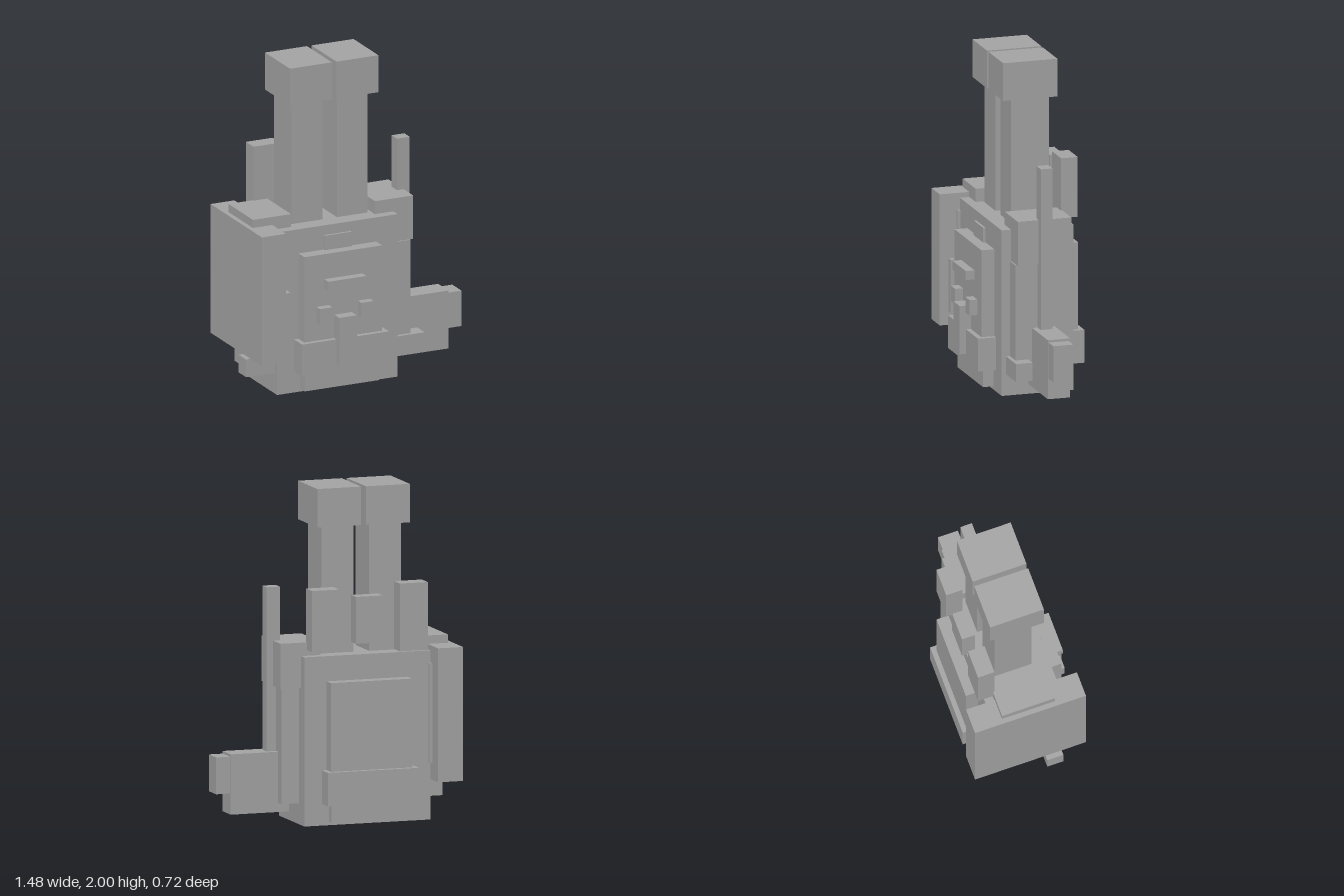
import * as THREE from 'three';

export function createModel() {
  const model = new THREE.Group();
  model.name = 'blockFigure';
  const stone = new THREE.MeshStandardMaterial({ color: 0xa6a6a6 });
  stone.name = 'plain grey';

  // Box given by its limits on each axis
  const box = (name, [x0, x1], [y0, y1], [z0, z1]) => {
    const mesh = new THREE.Mesh(new THREE.BoxGeometry(x1 - x0, y1 - y0, z1 - z0), stone);
    mesh.name = name;
    mesh.position.set((x0 + x1) / 2, (y0 + y1) / 2, (z0 + z1) / 2);
    model.add(mesh);
  };
  // The body is symmetric about x = -0.155
  const axis = -0.155;
  const pair = (name, [x0, x1], y, z) => {
    box('left' + name, [x0, x1], y, z);
    box('right' + name, [2 * axis - x1, 2 * axis - x0], y, z);
  };

  // Body with front and back panels, band and base
  box('torso', [-0.55, 0.24], [0, 1.01], [-0.235, 0.21]);
  box('bodyPanel', [-0.41, 0.1], [0.3, 0.86], [-0.31, 0.29]);
  box('band', [-0.44, 0.13], [0.13, 0.33], [-0.34, 0.32]);
  box('base', [-0.4, 0.085], [0.02, 0.13], [-0.278, 0.275]);
  box('upperTab', [-0.245, -0.065], [0.86, 0.95], [0.18, 0.225]);

  // Face details
  box('nose', [-0.215, -0.1], [0.18, 0.475], [0.28, 0.36]);
  box('brow', [-0.28, -0.03], [0.65, 0.705], [0.28, 0.345]);
  pair('Eye', [-0.06, 0.022], [0.445, 0.54], [0.28, 0.338]);

  // Raised legs and feet
  pair('Leg', [-0.107, 0.095], [1.0, 1.77], [-0.13, 0.105]);
  pair('Foot', [-0.14, 0.135], [1.77, 2], [-0.17, 0.167]);

  // Shoulders, arms and hands
  pair('Shoulder', [0.12, 0.37], [0.82, 1.09], [-0.18, 0.152]);
  pair('Arm', [0.16, 0.35], [0.125, 0.82], [-0.14, 0.16]);
  pair('Hand', [0.15, 0.43], [0.13, 0.24], [0.082, 0.183]);

  // Posts along the back
  box('rightPost', [-0.52, -0.345], [1.02, 1.425], [-0.273, -0.17]);
  box('middlePost', [-0.24, -0.07], [1.08, 1.36], [-0.273, -0.19]);
  box('leftPost', [0.035, 0.205], [1.045, 1.41], [-0.273, -0.17]);

  // Shield with its inner plate and grip
  box('shield', [-0.71, -0.553], [0.24, 1.04], [-0.36, 0.335]);
  box('shieldPlate', [-0.56, -0.537], [0.34, 0.937], [-0.26, 0.23]);
  box('shieldGrip', [-0.535, -0.498], [0.325, 0.65], [0.232, 0.285]);

  // Hammer: upright handle, head and tip
  box('hammerHandle', [0.327, 0.41], [0.4, 1.41], [-0.05, 0.023]);
  box('hammerHead', [0.28, 0.647], [0.07, 0.43], [-0.082, 0.057]);
  box('hammerTip', [0.64, 0.735], [0.195, 0.415], [-0.073, 0.052]);

  return model;
}
